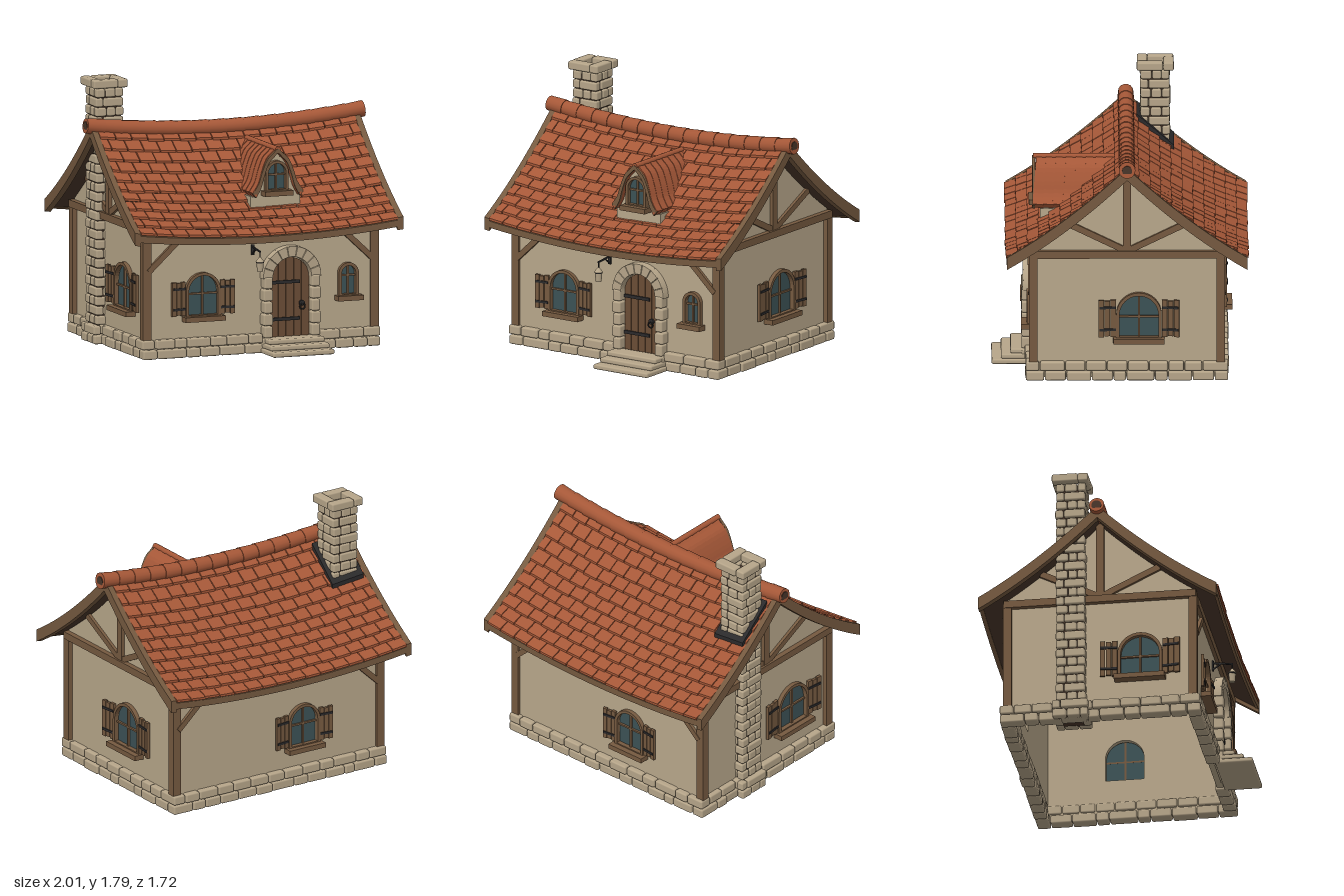
import * as THREE from 'three';
import { mergeGeometries } from 'three/addons/utils/BufferGeometryUtils.js';
import { RoundedBoxGeometry } from 'three/addons/geometries/RoundedBoxGeometry.js';

const paint = (name, color, side = THREE.FrontSide) => Object.assign(new THREE.MeshStandardMaterial({ color, side }), { name });
const PLASTER = paint('plaster', 0xb9a88b), STONE = paint('stone', 0xb7a68a), ROOF = paint('clay tile', 0xa65838);
const WOOD = paint('timber', 0x765a40), PLANK = paint('door plank', 0x6b4d36), DARK = paint('dark timber', 0x49362a);
const IRON = paint('iron', 0x2b2a2b), GLASS = paint('glass', 0x3c5256, THREE.DoubleSide);

// House half sizes, house centre in z, roof run and number of tile rows
const HX = 0.82, HZ = 0.64, ZC = -0.045, RUN = 0.805, ROWS = 11;
let seed = 7;
const rnd = () => (seed = (seed * 16807) % 2147483647) / 2147483647;
// Height of the sagging roof: t = 0 at the ridge, 1 at the eave
const roofY = (x, t) => 1.43 + 0.06 * (x / 0.97) ** 2 - 0.62 * (1.25 * t - 0.25 * t * t);

function mesh(parent, name, mat, geos) {
  const list = [geos].flat().map(g => (g.index ? g.toNonIndexed() : g));
  const m = new THREE.Mesh(mergeGeometries(list), mat);
  m.name = name;
  parent.add(m);
  return m;
}
function group(parent, name, x = 0, y = 0, z = 0) {
  const g = new THREE.Group();
  g.name = name;
  g.position.set(x, y, z);
  parent.add(g);
  return g;
}
const box = (w, h, d, x, y, z) => new THREE.BoxGeometry(w, h, d).translate(x, y, z);
const stone = (w, h, d, x, y, z) => new RoundedBoxGeometry(w, h, d, 1, 0.012).translate(x, y, z);
const extrude = (shape, depth, z = 0) =>
  new THREE.ExtrudeGeometry(shape, { depth, bevelEnabled: false, curveSegments: 10 }).translate(0, 0, z);
function bar(a, b, w, d) {
  const p = new THREE.Vector3(...a), q = new THREE.Vector3(...b), dir = q.clone().sub(p);
  const g = new THREE.BoxGeometry(w, dir.length(), d);
  g.applyQuaternion(new THREE.Quaternion().setFromUnitVectors(new THREE.Vector3(0, 1, 0), dir.normalize()));
  const c = p.add(q).multiplyScalar(0.5);
  return g.translate(c.x, c.y, c.z);
}
function arch(path, u, y, r, h) {
  path.moveTo(u - r, y).lineTo(u + r, y).lineTo(u + r, y + h).absarc(u, y + h, r, 0, Math.PI, false);
  path.closePath();
  return path;
}
// Lay a box given in (x, height above roof, t) onto one roof slope
function onRoof(w, h, dt, x, y, t, tilt = 0) {
  const g = new THREE.BoxGeometry(w, h, dt, w > 0.5 ? 16 : 1, 1, dt > 0.5 ? 12 : 1).translate(x, y, t);
  const p = g.attributes.position;
  for (let i = 0; i < p.count; i++) {
    const px = p.getX(i), pt = p.getZ(i);
    p.setXYZ(i, px, roofY(px, pt) + p.getY(i) + tilt * (pt - t), pt * RUN);
  }
  g.computeVertexNormals();
  return g;
}
// A row of uneven stones from a to b
function stoneRow(a, b, y, h, z, d) {
  const n = Math.max(1, Math.round((b - a) / 0.14)), cuts = [a];
  for (let i = 1; i < n; i++) cuts.push(a + ((b - a) * (i + (rnd() - 0.5) * 0.5)) / n);
  cuts.push(b);
  return cuts.slice(1).map((c, i) => stone(c - cuts[i] - 0.005, h - 0.004, d, (c + cuts[i]) / 2, y + h / 2, z + (rnd() - 0.5) * 0.01));
}

// Arched window: R outer, r glass radius, h straight height, sw/sh shutter size
function addWindow(parent, { u, y, R, r, h, sw, sh }, z) {
  const g = group(parent, 'window', u, y, z);
  const outline = arch(new THREE.Shape(), 0, 0, R, h);
  outline.holes.push(arch(new THREE.Path(), 0, 0.01, r, h - 0.01));
  mesh(g, 'windowFrame', WOOD, [extrude(outline, 0.04, -0.01), box(0.012, h + r, 0.015, 0, (h + r) / 2, 0.005),
    box(2 * r, 0.012, 0.015, 0, h * 0.9, 0.005), box(2 * R + 0.04, 0.034, 0.075, 0, -0.015, 0.032)]);
  mesh(g, 'windowGlass', GLASS, new THREE.ShapeGeometry(arch(new THREE.Shape(), 0, 0, r, h)).translate(0, 0, -0.002));
  if (!sw) return;
  for (const s of [-1, 1]) {
    const shutter = group(g, 'shutter', s * R, 0.008, 0.012);
    shutter.rotation.y = -s * 0.12;
    const w = sw / 3;
    mesh(shutter, 'shutterBoards', WOOD, [0, 1, 2].map(i =>
      box(w - 0.005, sh - 0.012 * (i % 2), 0.02, s * (i + 0.5) * w, sh / 2, 0)));
    mesh(shutter, 'shutterStraps', IRON, [0.2, 0.8].map(f => box(sw * 0.9, 0.016, 0.008, s * sw * 0.48, sh * f, 0.013)));
  }
}

function addDoor(front) {
  const r = 0.14, h = 0.395, g = group(front, 'door', 0.21, 0.1, HZ);
  const top = x => h + Math.sqrt(Math.max(0, r * r - x * x));
  const planks = [], frame = [];
  for (let i = 0; i < 5; i++) {
    const a = -r + i * 0.056 + 0.002, b = a + 0.052, pts = [new THREE.Vector2(a, 0), new THREE.Vector2(b, 0)];
    for (let k = 4; k >= 0; k--) pts.push(new THREE.Vector2(a + (0.052 * k) / 4, top(a + (0.052 * k) / 4)));
    planks.push(extrude(new THREE.Shape(pts), 0.03, -0.02));
  }
  mesh(g, 'doorPlanks', PLANK, planks);
  mesh(g, 'doorHinges', IRON, [0.37, 0.12].map(y => box(0.205, 0.022, 0.012, -0.033, y, 0.015)));
  mesh(g, 'doorHandle', IRON, [new THREE.CylinderGeometry(0.02, 0.02, 0.016, 10).rotateX(Math.PI / 2).translate(0.085, 0.222, 0.016),
    new THREE.TorusGeometry(0.019, 0.005, 6, 12).translate(0.085, 0.2, 0.028)]);
  // Stone surround: jambs and arch stones
  for (const s of [-1, 1]) for (let i = 0; i < 6; i++)
    frame.push(stone(i % 2 ? 0.062 : 0.07, 0.079, 0.11, s * (r + (i % 2 ? 0.031 : 0.034)), -0.04 + i * 0.083, 0.01));
  for (let i = 0; i < 9; i++) {
    const a = (i * Math.PI) / 9 + 0.015, b = ((i + 1) * Math.PI) / 9 - 0.015, s = new THREE.Shape();
    s.absarc(0, h + 0.01, r + 0.069, a, b, false);
    s.absarc(0, h + 0.01, r, b, a, true);
    s.closePath();
    frame.push(new THREE.ExtrudeGeometry(s, { depth: 0.09, bevelThickness: 0.006, bevelSize: 0.003, bevelSegments: 1, curveSegments: 3 }).translate(0, 0, -0.04));
  }
  mesh(g, 'doorSurround', STONE, frame);
  mesh(front, 'steps', STONE, [0, 1, 2].map(i =>
    stone(0.445 - i * 0.02, 0.035, 0.255 - i * 0.063, 0.212, 0.018 + i * 0.034, 0.65 + (0.255 - i * 0.063) / 2)));
}

function addLantern(front) {
  const g = group(front, 'lantern', -0.055, 0, HZ);
  mesh(g, 'lanternBracket', IRON, [bar([0, 0.72, 0], [0, 0.705, 0.14], 0.01, 0.01), bar([0, 0.67, 0], [0, 0.712, 0.06], 0.008, 0.008),
    box(0.02, 0.07, 0.01, 0, 0.7, 0.005), bar([0, 0.66, 0.135], [0, 0.708, 0.135], 0.007, 0.007),
    new THREE.CylinderGeometry(0.027, 0.027, 0.008, 6).translate(0, 0.634, 0.135)]);
  mesh(g, 'lanternBody', STONE, [new THREE.CylinderGeometry(0.025, 0.02, 0.06, 6).translate(0, 0.602, 0.135),
    new THREE.CylinderGeometry(0.007, 0.031, 0.032, 6).translate(0, 0.653, 0.135)]);
}

function addWalls(house) {
  const small = { R: 0.125, r: 0.105, h: 0.17, sw: 0.105, sh: 0.23, y: 0.275 };
  const big = { R: 0.152, r: 0.13, h: 0.162, sw: 0.122, sh: 0.255, y: 0.295 };
  const faces = [
    { name: 'frontWall', ry: 0, d: HZ, w: HX, windows: [{ ...small, u: -0.42 }, { u: 0.63, y: 0.355, R: 0.072, r: 0.05, h: 0.15 }], door: true },
    { name: 'backWall', ry: Math.PI, d: HZ, w: HX, windows: [{ ...small, u: 0.2 }] },
    { name: 'leftWall', ry: Math.PI / 2, d: HX, w: HZ, windows: [{ ...big, u: 0.08 }], gable: true },
    { name: 'rightWall', ry: -Math.PI / 2, d: HX, w: HZ, windows: [{ ...big, u: 0.27 }], gable: true }];
  for (const { name, ry, d, w, windows, door, gable } of faces) {
    const g = group(house, name);
    g.rotation.y = ry;
    const pts = [new THREE.Vector2(-w, 0.02), new THREE.Vector2(w, 0.02)];
    if (gable) for (let i = 8; i >= -8; i--) pts.push(new THREE.Vector2((w * i) / 8, roofY(HX, (w * Math.abs(i)) / 8 / RUN) - 0.045));
    else pts.push(new THREE.Vector2(w, 0.86), new THREE.Vector2(-w, 0.86));
    const shape = new THREE.Shape(pts);
    for (const o of windows) shape.holes.push(arch(new THREE.Path(), o.u, o.y, o.r, o.h));
    if (door) shape.holes.push(arch(new THREE.Path(), 0.21, 0.1, 0.14, 0.395));
    mesh(g, 'plasterWall', PLASTER, extrude(shape, 0.04, d - 0.04));
    for (const o of windows) addWindow(g, o, d);
    // Timber framing
    const z = d + 0.005, timber = [];
    if (gable) {
      timber.push(box(2 * w + 0.02, 0.05, 0.06, 0, 0.875, d + 0.008), box(0.052, 0.55, 0.04, 0, 1.16, z));
      for (const s of [-1, 1]) timber.push(bar([s * 0.02, 0.905, z], [s * 0.4, 1.09, z], 0.042, 0.032));
    } else {
      timber.push(box(2 * w, 0.06, 0.04, 0, 0.825, z));
      for (const s of [-1, 1]) timber.push(bar([s * 0.81, 0.595, z], [s * 0.59, 0.8, z], 0.038, 0.034));
    }
    mesh(g, 'timberFrame', WOOD, timber);
    // Two stone courses at the foot, broken by the door
    const rows = [], e = w + 0.04;
    for (const i of [0, 1]) {
      const a = i ? -e + 0.095 : -e, b = i ? e : e - 0.095;
      for (const [p, q] of door ? [[a, 0.01], [0.41, b]] : [[a, b]])
        rows.push(...stoneRow(p, q, i * 0.067, 0.067, d - 0.005, 0.09));
    }
    mesh(g, 'footingStones', STONE, rows);
    if (door) { addDoor(g); addLantern(g); }
  }
  const posts = [];
  for (const sx of [-1, 1]) for (const sz of [-1, 1]) posts.push(box(0.058, 0.75, 0.058, sx * 0.822, 0.505, sz * 0.628));
  mesh(house, 'cornerPosts', WOOD, posts);
}

function addRoof(house) {
  for (const back of [false, true]) {
    const g = group(house, back ? 'backRoof' : 'frontRoof');
    if (back) g.rotation.y = Math.PI;
    mesh(g, 'roofDeck', DARK, onRoof(1.88, 0.035, 0.99, 0, -0.022, 0.495));
    mesh(g, 'bargeBoards', WOOD, [-1, 1].map(s => onRoof(0.042, 0.085, 1, s * 0.948, -0.025, 0.5)));
    mesh(g, 'eaveBoard', WOOD, onRoof(1.88, 0.045, 0.03, 0, -0.022, 0.985));
    const tiles = [], p = 1.86 / 16, dt = 1 / ROWS;
    for (let r = 0; r < ROWS; r++) for (let c = 0; c < 17; c++) {
      const x0 = -0.93 + (c - (r % 2) / 2) * p, a = Math.max(-0.93, x0), b = Math.min(0.93, x0 + p);
      if (b - a < 0.02) continue;
      const len = dt * (1.06 + 0.1 * rnd());
      tiles.push(onRoof(b - a - 0.006, 0.016, len, (a + b) / 2, 0.008 + rnd() * 0.004, r * dt + len / 2, 0.2));
    }
    mesh(g, 'roofTiles', ROOF, tiles);
    if (back) mesh(g, 'chimneyFlashing', IRON, onRoof(0.25, 0.05, 0.31, 0.785, 0.02, 0.245));
  }
  // Ridge tiles following the sag
  const ridge = [];
  for (let i = 0; i < 16; i++) {
    const x = -0.9375 + i * 0.125;
    ridge.push(new THREE.CylinderGeometry(0.051, 0.056, 0.128, 14).rotateZ(Math.PI / 2 + Math.atan(0.1275 * x)).translate(x, roofY(x, 0) + 0.008, 0));
  }
  mesh(house, 'ridgeTiles', ROOF, ridge);
  mesh(house, 'ridgeEnds', DARK, [-1, 1].map(s =>
    new THREE.CylinderGeometry(0.034, 0.034, 0.01, 14).rotateZ(Math.PI / 2).translate(s * 0.999, roofY(1, 0) + 0.004, 0)));
}

function addChimney(model) {
  const g = group(model, 'chimney', -0.785, 0, -0.24), stones = [], n = 27, h = 1.73 / n;
  // Ring of four sides, each lapping the next, direction swapping per course
  const ring = (i, y, hh, half, t, split) => {
    for (let k = 0; k < 4; k++) {
      const len = 2 * half - t, off = (i % 2 ? 1 : -1) * (t / 2), cut = split ? 0.4 + rnd() * 0.2 : 1;
      for (const [a, b] of split ? [[0, cut], [cut, 1]] : [[0, 1]])
        stones.push(stone(len * (b - a) - 0.004, hh - 0.004, t, off - len / 2 + (len * (a + b)) / 2, y + hh / 2, half - t / 2 + (rnd() - 0.5) * 0.008)
          .rotateY((k * Math.PI) / 2));
    }
  };
  for (let i = 0; i < n; i++) ring(i, i * h, h, i < 2 ? 0.122 : 0.1, 0.055, i % 2 === 0);
  ring(0, 1.73, 0.062, 0.125, 0.07, false);
  mesh(g, 'chimneyStones', STONE, stones);
  mesh(g, 'chimneyCore', DARK, box(0.17, 1.7, 0.17, 0, 0.86, 0));
}

function addDormer(model) {
  const g = group(model, 'dormer', 0.135);
  const half = [[0, 1.37], [0.035, 1.342], [0.078, 1.3], [0.115, 1.215], [0.14, 1.14], [0.183, 1.075]];
  const knots = [...half.slice(1).reverse().map(([x, y]) => [-x, y]), ...half].map(([x, y]) => new THREE.Vector2(x, y));
  const outer = new THREE.SplineCurve(knots).getPoints(30);
  const inner = outer.map(p => new THREE.Vector2(p.x * 0.87, p.y - 0.03));
  const band = new THREE.Shape([...outer, ...inner.slice().reverse()]);
  // Overlapping tile courses, each tipped up at the front
  const courses = [];
  for (let i = 0; i < 8; i++) courses.push(extrude(band, 0.075).translate(0, -1.2, 0).rotateX(-0.09).translate(0, 1.2, 0.03 + i * 0.067));
  mesh(g, 'dormerTiles', ROOF, courses);
  mesh(g, 'dormerRidge', ROOF, new THREE.CylinderGeometry(0.02, 0.02, 0.56, 10).rotateX(Math.PI / 2).translate(0, 1.365, 0.3));
  mesh(g, 'dormerTrim', WOOD, extrude(band, 0.018, 0.568));
  const wall = new THREE.Shape([...inner, new THREE.Vector2(0.178, 1.05), new THREE.Vector2(0.178, 0.93),
    new THREE.Vector2(-0.178, 0.93), new THREE.Vector2(-0.178, 1.05)]);
  mesh(g, 'dormerWall', PLASTER, extrude(wall, 0.2, 0.335));
  addWindow(g, { u: 0, y: 1.085, R: 0.082, r: 0.063, h: 0.12 }, 0.54);
}

export function createModel() {
  const model = new THREE.Group();
  model.name = 'cottage';
  const house = group(model, 'house', 0, 0, ZC);
  addWalls(house);
  addRoof(house);
  addChimney(model);
  addDormer(model);
  return model;
}
